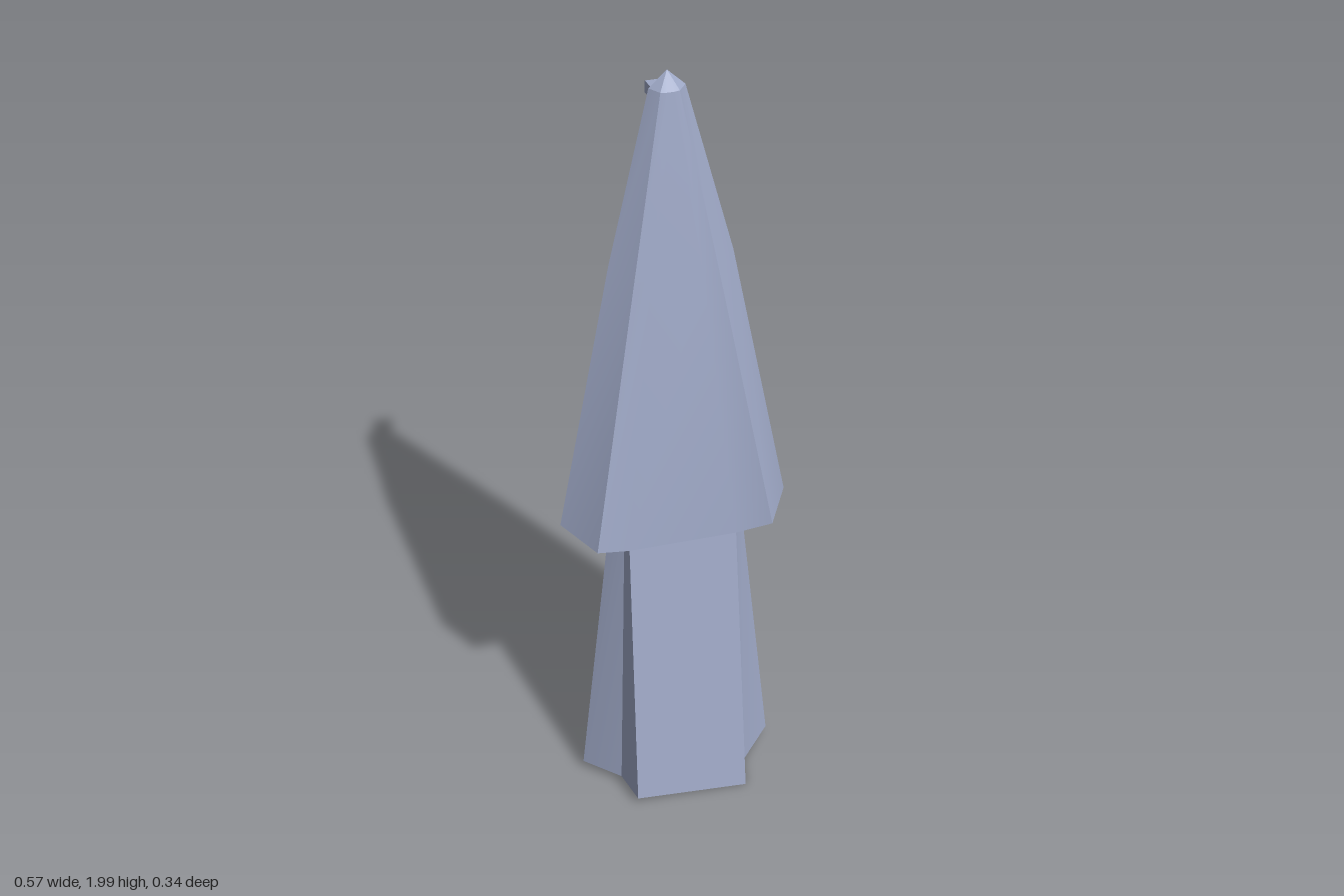
import * as THREE from 'three';
import { toCreasedNormals } from 'three/addons/utils/BufferGeometryUtils.js';

// Mirrors a half section (back edge to front fold) into an open loop round the front.
// tilt lowers the left side and raises the right by the same amount.
function section(half, tilt = 0) {
  const right = half.map(([x, y, z]) => [-x, y + (z > 0.05 ? tilt : 0), z]);
  const left = half.map(([x, y, z]) => [x, y - (z > 0.05 ? tilt : 0), z]).reverse();
  return [...right, ...left];
}

function build(points, index) {
  const geo = new THREE.BufferGeometry();
  geo.setAttribute('position', new THREE.Float32BufferAttribute(points.flat(), 3));
  geo.setIndex(index);
  return toCreasedNormals(geo, 0.4);
}

// Skins a stack of sections, lowest first.
function loft(sections, closed = false) {
  const n = sections[0].length, index = [];
  for (let s = 0; s < sections.length - 1; s++) {
    for (let i = 0; i < (closed ? n : n - 1); i++) {
      const a = s * n + i, b = s * n + (i + 1) % n;
      index.push(a, b, b + n, a, b + n, a + n);
    }
  }
  return build(sections.flat(), index);
}

// Fills a loop with a fan around a middle point.
function fan(loop, middle, up) {
  const n = loop.length, index = [];
  for (let i = 0; i < n; i++) {
    const j = (i + 1) % n;
    index.push(n, up ? i : j, up ? j : i);
  }
  return build([...loop, middle], index);
}

export function createModel() {
  const group = new THREE.Group();
  const cloth = new THREE.MeshStandardMaterial({ color: 0xa0aac8, side: THREE.DoubleSide });
  cloth.name = 'blue grey cloth';
  const add = (name, geo) => {
    const mesh = new THREE.Mesh(geo, cloth);
    mesh.name = name;
    group.add(mesh);
  };

  // Half sections: back edge, back corner, side, front corner, front fold
  const skirtBottom = section([[0.17, 0.06, -0.1], [0.21, 0.048, -0.05], [0.252, 0.035, 0],
    [0.168, 0.022, 0.08], [0.146, 0.022, 0.17]], 0.012);
  const skirtTop = section([[0.145, 0.8, -0.075], [0.16, 0.8, -0.04], [0.17, 0.8, 0],
    [0.14, 0.8, 0.04], [0.135, 0.79, 0.073]]);
  const hoodBottom = section([[0.145, 0.8, -0.08], [0.22, 0.81, -0.098], [0.285, 0.83, -0.02],
    [0.22, 0.82, 0.097], [0.135, 0.79, 0.073]]);
  const hoodMiddle = section([[0.1, 1.5, -0.078], [0.116, 1.52, -0.08], [0.148, 1.54, -0.037],
    [0.1, 1.52, 0.014], [0.06, 1.52, 0.016]]);
  const hoodTop = section([[0.012, 1.93, -0.097], [0.028, 1.945, -0.095], [0.042, 1.96, -0.07],
    [0.022, 1.96, -0.043], [0.008, 1.96, -0.04]]);

  // Upper and lower folds, open at the back, joined by a narrow step
  add('hood', loft([hoodBottom, hoodMiddle, hoodTop]));
  add('hoodStep', loft([skirtTop, hoodBottom]));
  add('skirt', loft([skirtBottom, skirtTop]));
  add('tip', fan(hoodTop, [0, 2, -0.07], true));

  // Floor closing the skirt, with a small bulge at the back
  add('floor', fan([...skirtBottom, [0, 0.08, -0.123]], [0, 0.035, 0.03], false));

  // Bent, flaring hook behind the tip
  const hookSection = (x, half, y, z) => [[x - half, y - 0.015, z], [x + half, y - 0.015, z],
    [x + half, y + 0.015, z], [x - half, y + 0.015, z]];
  const hook = [hookSection(0, 0.018, 1.935, -0.085), hookSection(0.002, 0.018, 1.913, -0.11),
    hookSection(0.004, 0.028, 1.91, -0.172)];
  add('hook', loft(hook.map((s) => s.reverse()), true));
  add('hookEnd', fan(hook[2], [0.004, 1.91, -0.172], true));

  return group;
}
